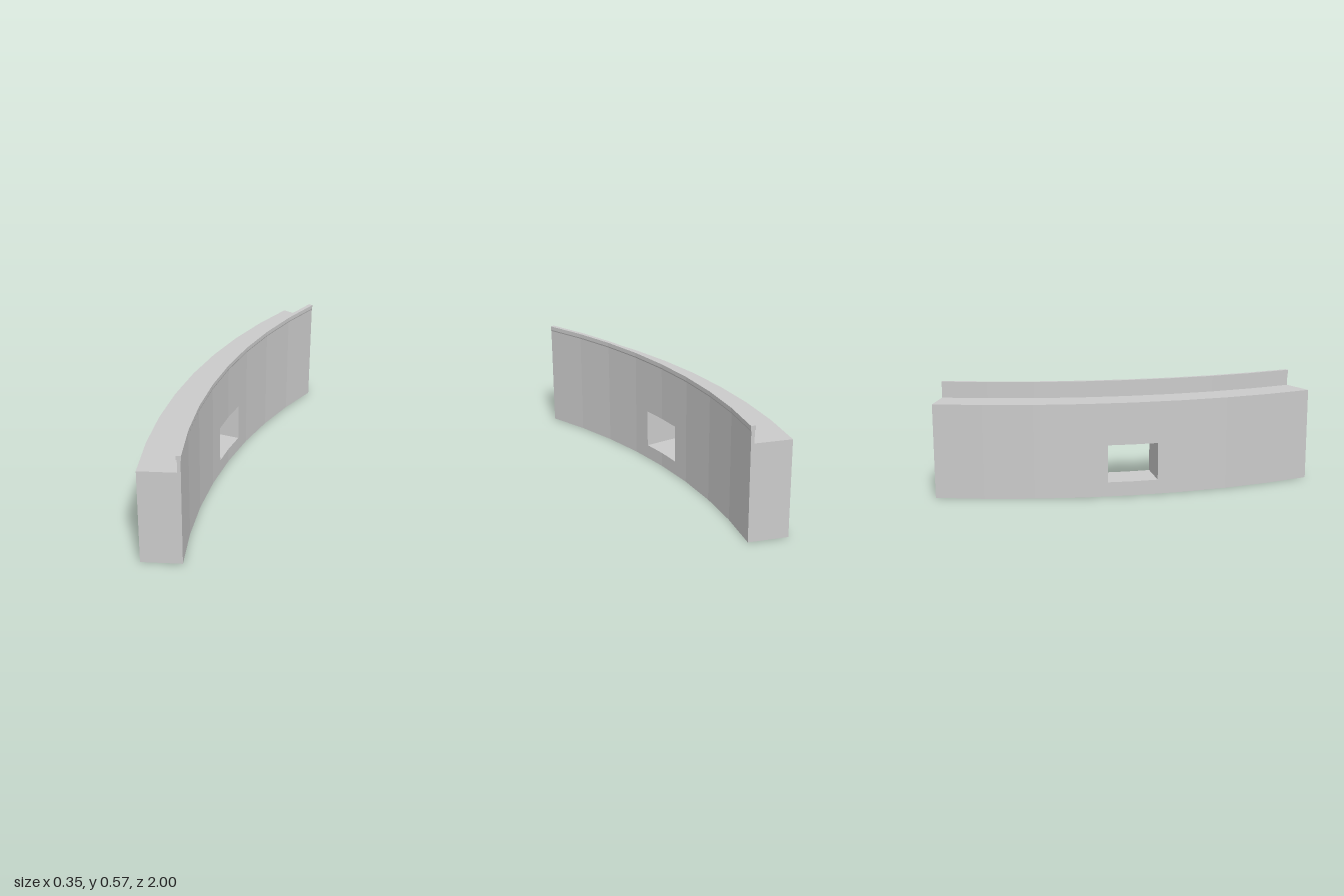
import * as THREE from 'three';

const CX = 3.061;                      // centre of the arc on x
const R_OUT = 3.236, R_IN = 3.0374;    // outer and inner wall radius
const HALF = Math.PI / 10, SEGS = 8;   // 36 degree arc in 8 flat facets
const HOLE = 0.131;                    // half width of the opening
const ROWS = [0, 0.075, 0.27, 0.488];  // heights: base, sill, lintel, wall top

const angles = Array.from({ length: SEGS + 1 }, (_, i) => -HALF + (2 * HALF * i) / SEGS);
const onArc = (r, a, y) => [CX - r * Math.cos(a), y, r * Math.sin(a)];

function makeMesh(name, positions) {
  const geo = new THREE.BufferGeometry();
  geo.setAttribute('position', new THREE.Float32BufferAttribute(positions, 3));
  geo.computeVertexNormals();
  const mesh = new THREE.Mesh(geo, new THREE.MeshStandardMaterial({ color: 0xcccccc, flatShading: true }));
  mesh.name = name;
  return mesh;
}

const addQuad = (out, a, b, c, d) => out.push(...a, ...b, ...c, ...a, ...c, ...d);

// Plan points of one wall face, with extra points at the sides of the opening
function planLine(r) {
  const pts = angles.map((a) => { const p = onArc(r, a, 0); return [p[0], p[2]]; });
  const mid = SEGS / 2;
  const [x0] = pts[mid], [x1, z1] = pts[mid + 1];
  const jambX = x0 + ((x1 - x0) * HOLE) / z1;
  pts.splice(mid + 1, 0, [jambX, HOLE]);
  pts.splice(mid, 0, [jambX, -HOLE]);
  return pts;
}

// Curved wall as a grid of cells; a face is made wherever a cell meets open space
function createWall() {
  const lines = [planLine(R_OUT), planLine(R_IN)];
  const cols = lines[0].length - 1, rows = ROWS.length - 1;
  const solid = (i, j) => i >= 0 && j >= 0 && i < cols && j < rows
    && !(j === 1 && (i === cols / 2 - 1 || i === cols / 2));
  const out = [];
  for (let i = 0; i < cols; i++) {
    for (let j = 0; j < rows; j++) {
      if (!solid(i, j)) continue;
      const p = (x, y, z) => [lines[x][i + z][0], ROWS[j + y], lines[x][i + z][1]];
      addQuad(out, p(1, 0, 1), p(1, 0, 0), p(1, 1, 0), p(1, 1, 1));   // inner face
      addQuad(out, p(0, 0, 0), p(0, 0, 1), p(0, 1, 1), p(0, 1, 0));   // outer face
      if (!solid(i, j + 1)) addQuad(out, p(0, 1, 1), p(1, 1, 1), p(1, 1, 0), p(0, 1, 0));
      if (!solid(i, j - 1)) addQuad(out, p(0, 0, 0), p(1, 0, 0), p(1, 0, 1), p(0, 0, 1));
      if (!solid(i + 1, j)) addQuad(out, p(0, 0, 1), p(1, 0, 1), p(1, 1, 1), p(0, 1, 1));
      if (!solid(i - 1, j)) addQuad(out, p(1, 0, 0), p(0, 0, 0), p(0, 1, 0), p(1, 1, 0));
    }
  }
  return makeMesh('curvedWall', out);
}

// Thin upstand with a wider lip, swept along the inner edge
function createRim() {
  const profile = [ // radius, height
    [3.0539, 0.488], [R_IN, 0.488], [R_IN, 0.545], [3.035, 0.552],
    [3.035, 0.573], [3.058, 0.573], [3.058, 0.552], [3.0539, 0.552],
  ];
  const n = profile.length, out = [];
  const p = (k, i) => onArc(profile[k % n][0], angles[i], profile[k % n][1]);
  for (let i = 0; i < SEGS; i++) {
    for (let k = 0; k < n; k++) addQuad(out, p(k, i), p(k + 1, i), p(k + 1, i + 1), p(k, i + 1));
  }
  // End caps
  const flat = profile.map(([r, y]) => new THREE.Vector2(-r, y));
  for (const [a, b, c] of THREE.ShapeUtils.triangulateShape(flat, [])) {
    out.push(...p(a, SEGS), ...p(b, SEGS), ...p(c, SEGS));
    out.push(...p(a, 0), ...p(c, 0), ...p(b, 0));
  }
  return makeMesh('rimWithLip', out);
}

export function createModel() {
  const group = new THREE.Group();
  group.name = 'curvedWallSection';
  group.add(createWall(), createRim());
  return group;
}
